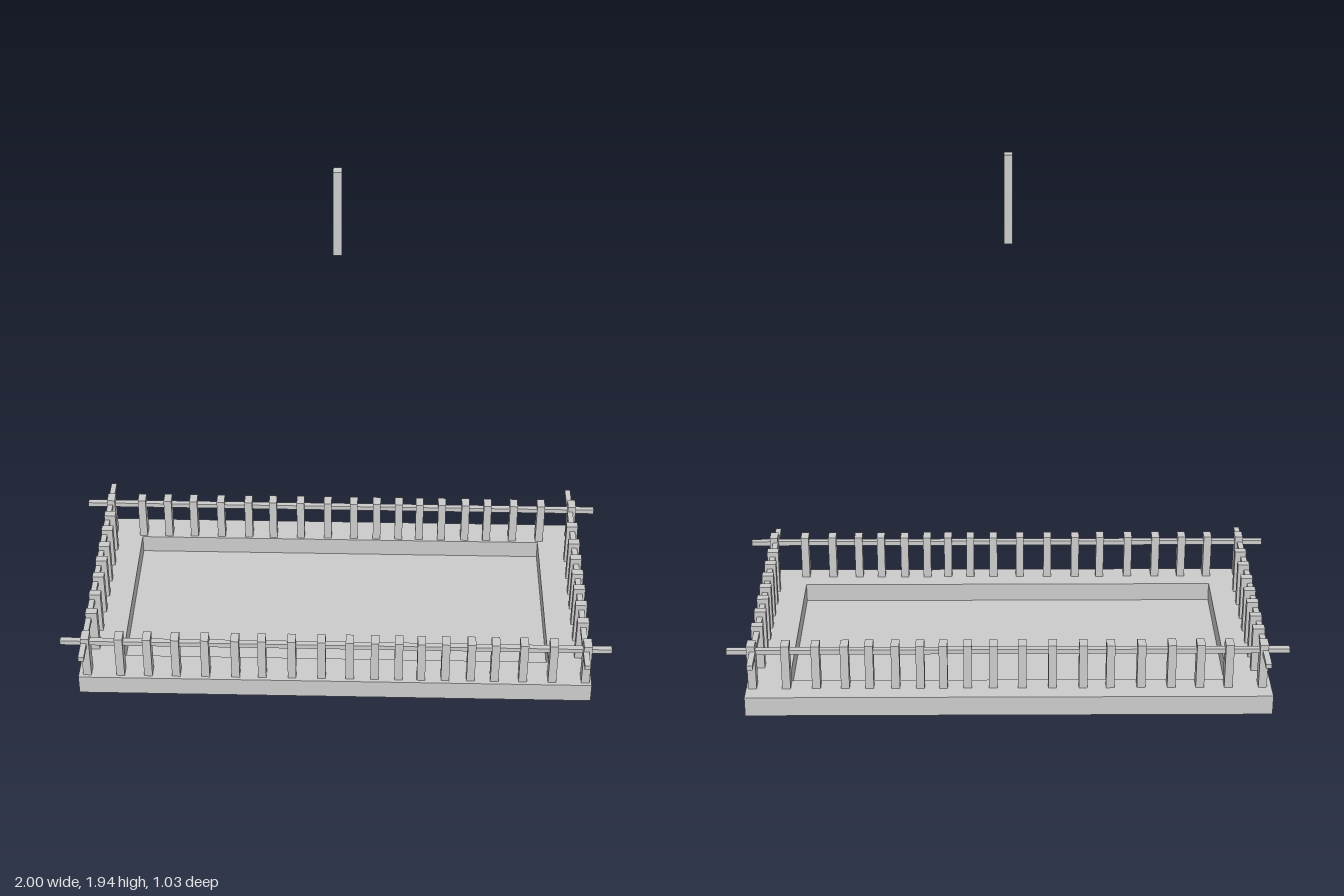
import * as THREE from 'three';

const material = new THREE.MeshStandardMaterial({ color: 0xcccccc, flatShading: true });

function box(parent, name, [w, h, d], [x, y, z]) {
  const mesh = new THREE.Mesh(new THREE.BoxGeometry(w, h, d), material);
  mesh.name = name;
  mesh.position.set(x, y, z);
  parent.add(mesh);
  return mesh;
}

// Rectangle path in plan, with shape y pointing to -z
function rectangle(path, x0, x1, z0, z1) {
  path.moveTo(x0, -z1);
  path.lineTo(x1, -z1);
  path.lineTo(x1, -z0);
  path.lineTo(x0, -z0);
  path.closePath();
  return path;
}

export function createModel() {
  const model = new THREE.Group();
  model.name = 'fencedPlatform';

  // Raised border around a sunken floor
  const border = rectangle(new THREE.Shape(), -0.94, 0.935, -0.485, 0.452);
  border.holes.push(rectangle(new THREE.Path(), -0.79, 0.785, -0.37, 0.33));
  const geometry = new THREE.ExtrudeGeometry(border, { depth: 0.075, bevelEnabled: false });
  geometry.rotateX(-Math.PI / 2).translate(0, 0.01, 0);
  const base = new THREE.Mesh(geometry, material);
  base.name = 'baseBorder';
  model.add(base);
  box(model, 'floor', [1.68, 0.013, 0.717], [0, 0.0065, -0.0135]);

  // Fence posts stand on the border, with slightly uneven spacing
  const fence = new THREE.Group();
  fence.name = 'fence';
  model.add(fence);
  const postBottom = 0.08, postTop = 0.258;
  const postHeight = postTop - postBottom, postY = (postTop + postBottom) / 2;

  const longSideX = [-0.786, -0.684, -0.582, -0.474, -0.364, -0.267, -0.158, -0.05, 0.053,
    0.144, 0.231, 0.313, 0.401, 0.494, 0.581, 0.684, 0.791];
  for (const [side, z] of [['back', -0.402], ['front', 0.415]]) {
    for (const x of longSideX) box(fence, side + 'Post', [0.03, postHeight, 0.048], [x, postY, z]);
    for (const x of [-0.908, 0.912]) box(fence, side + 'CornerPost', [0.03, postHeight, 0.048], [x, postY, z]);
    box(fence, side + 'Rail', [2, 0.018, 0.021], [0, 0.227, z]);
  }

  const shortSides = [
    ['right', -0.901, -0.912, [-0.297, -0.206, -0.107, -0.019, 0.075, 0.179, 0.283]],
    ['left', 0.904, 0.905, [-0.27, -0.166, -0.072, 0.015, 0.104, 0.195, 0.291]],
  ];
  for (const [side, postX, railX, zs] of shortSides) {
    for (const z of zs) box(fence, side + 'Post', [0.043, postHeight, 0.03], [postX, postY, z]);
    box(fence, side + 'Rail', [0.021, 0.018, 1.032], [railX, 0.228, -0.002]);
  }

  // Single loose post floating above the centre
  box(model, 'floatingPost', [0.029, 0.316, 0.036], [-0.002, 1.778, -0.016]);

  return model;
}
